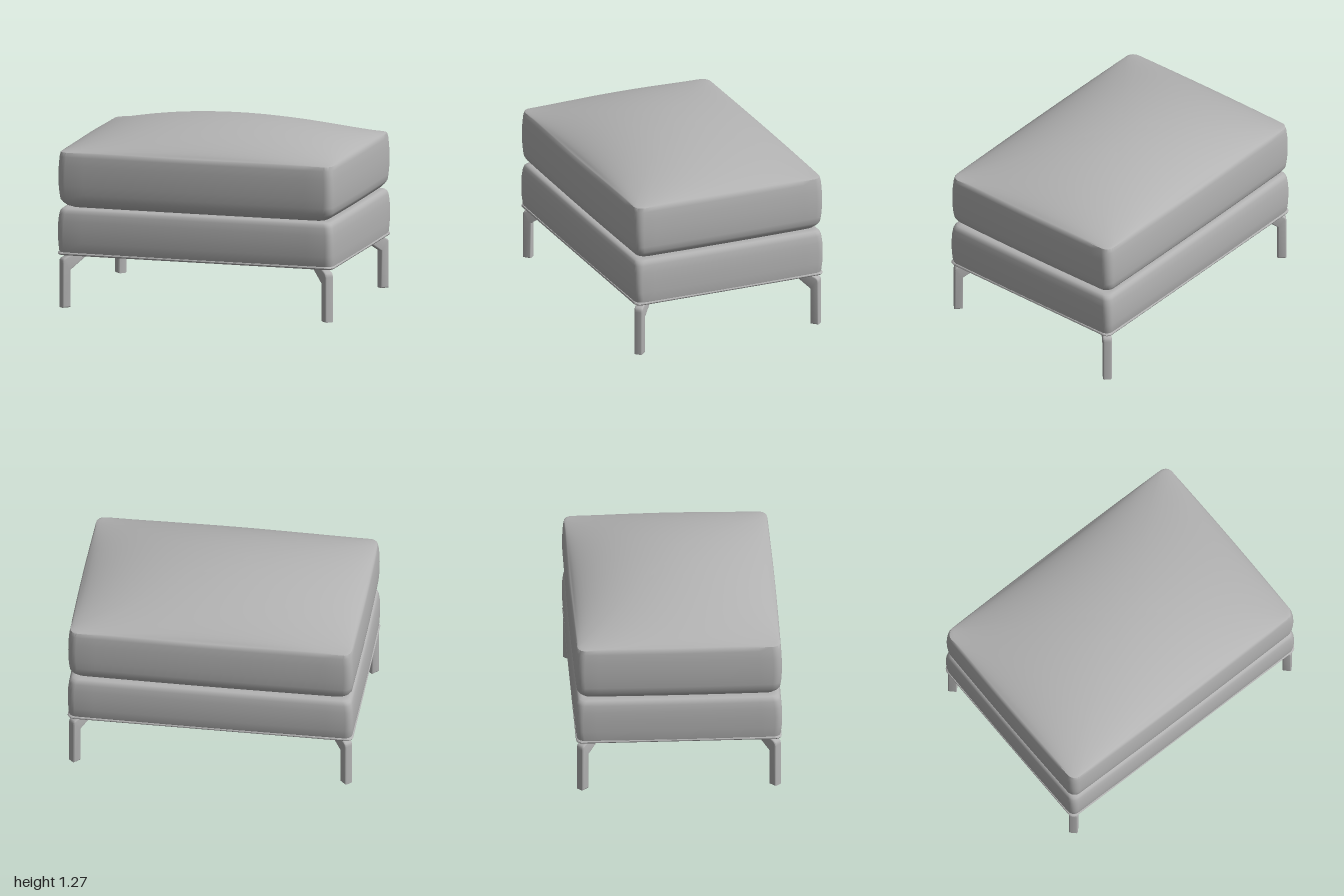
import * as THREE from 'three';
import { toCreasedNormals } from 'three/addons/utils/BufferGeometryUtils.js';

// Rounded rectangle outline in plan, with evenly divided sides and a slight outward bow
function outline(hx, hz, r, bow) {
  const pts = [], sides = 14, arc = 6;
  const corners = [[1, 1, 0], [-1, 1, 1], [-1, -1, 2], [1, -1, 3]];
  corners.forEach(([sx, sz, q], k) => {
    for (let i = 0; i <= arc; i++) {
      const t = (q + i / arc) * Math.PI / 2;
      pts.push([sx * (hx - r) + r * Math.cos(t), sz * (hz - r) + r * Math.sin(t)]);
    }
    const [ex, ez] = pts[pts.length - 1];
    const [nx, nz, nq] = corners[(k + 1) % 4];
    const t = nq * Math.PI / 2;
    const fx = nx * (hx - r) + r * Math.cos(t), fz = nz * (hz - r) + r * Math.sin(t);
    for (let i = 1; i < sides; i++) {
      const s = i / sides, b = bow * Math.sin(Math.PI * s);
      pts.push([ex + (fx - ex) * s + b * Math.cos(t), ez + (fz - ez) * s + b * Math.sin(t)]);
    }
  });
  return pts;
}

// Skin a stack of outlines, bottom to top; each ring is [y, halfX, halfZ, cornerRadius].
// The top is closed by shrinking rings raised by dome(u, v).
function loft(rings, { bow = 0, dome = () => 0, crease = 0.8 } = {}) {
  const pos = [], index = [];
  const add = (pts, s, yAt) => pts.forEach(([x, z]) => pos.push(x * s, yAt(x * s, z * s), z * s));
  const first = rings[0], last = rings[rings.length - 1];
  add(outline(first[1], first[2], first[3], 0), 0, () => first[0]);
  rings.forEach(([y, hx, hz, r]) => add(outline(hx, hz, r, bow), 1, () => y));
  const rim = outline(last[1], last[2], last[3], bow);
  const caps = [0.99, 0.975, 0.95, 0.92, 0.88, 0.82, 0.74, 0.64, 0.52, 0.38, 0.22, 0];
  caps.forEach((s) => add(rim, s, (x, z) => last[0] + dome(x / last[1], z / last[2])));
  const n = rim.length, rows = pos.length / 3 / n;
  for (let i = 0; i < rows - 1; i++) {
    for (let j = 0; j < n; j++) {
      const a = i * n + j, b = i * n + (j + 1) % n, c = a + n, d = b + n;
      if (i > 0) index.push(a, c, b);
      if (i < rows - 2) index.push(b, c, d);
      if (i === 0) index.push(b, c, d);
    }
  }
  // remove repeated first-row triangles and keep clean winding
  const geo = new THREE.BufferGeometry();
  geo.setAttribute('position', new THREE.Float32BufferAttribute(pos, 3));
  const clean = [], seen = new Set();
  for (let i = 0; i < index.length; i += 3) {
    const tri = index.slice(i, i + 3), key = tri.join();
    if (!seen.has(key)) clean.push(...tri);
    seen.add(key);
  }
  geo.setIndex(clean);
  return toCreasedNormals(geo, crease);
}

// Bent leg: an upright post whose top turns inward under the frame
function legGeometry() {
  const s = new THREE.Shape();
  s.moveTo(-0.031, 0);
  s.lineTo(0.031, 0);
  s.lineTo(0.031, 0.262);
  s.lineTo(0.15, 0.345);
  s.lineTo(0.15, 0.374);
  s.lineTo(0.045, 0.374);
  s.lineTo(-0.012, 0.349);
  s.quadraticCurveTo(-0.031, 0.34, -0.031, 0.315);
  s.closePath();
  const bevel = 0.01, width = 0.062;
  const geo = new THREE.ExtrudeGeometry(s, {
    depth: width - 2 * bevel, bevelEnabled: true, bevelThickness: bevel,
    bevelSize: bevel, bevelOffset: -bevel, bevelSegments: 3, curveSegments: 6,
  });
  geo.translate(0, 0, -width / 2 + bevel);
  return toCreasedNormals(geo, 0.7);
}

export function createModel() {
  const group = new THREE.Group();
  const grey = new THREE.MeshStandardMaterial({ color: 0xb3b3b3 });
  grey.name = 'grey';
  const part = (name, geo) => {
    const mesh = new THREE.Mesh(geo, grey);
    mesh.name = name;
    group.add(mesh);
    return mesh;
  };

  // Plump seat cushion with a domed top
  part('cushion', loft([
    [0.695, 0.88, 0.6, 0.06],
    [0.7, 0.915, 0.635, 0.06],
    [0.715, 0.945, 0.668, 0.06],
    [0.738, 0.968, 0.69, 0.06],
    [0.76, 0.982, 0.702, 0.06],
    [0.8, 0.987, 0.708, 0.06],
    [0.86, 0.992, 0.712, 0.06],
    [0.93, 0.993, 0.713, 0.06],
    [1.0, 0.991, 0.711, 0.06],
    [1.06, 0.986, 0.706, 0.06],
    [1.09, 0.98, 0.7, 0.06],
  ], {
    bow: 0.006,
    dome: (u, v) => 0.178 * Math.pow(Math.max(0, (1 - u * u) * (1 - v * v)), 0.7),
    crease: 1,
  }));

  // Upholstered base
  part('base', loft([
    [0.385, 0.985, 0.7, 0.05],
    [0.4, 0.988, 0.705, 0.05],
    [0.46, 0.992, 0.712, 0.05],
    [0.54, 0.994, 0.714, 0.05],
    [0.61, 0.992, 0.711, 0.05],
    [0.66, 0.986, 0.705, 0.05],
    [0.682, 0.979, 0.698, 0.05],
    [0.693, 0.967, 0.687, 0.05],
    [0.698, 0.95, 0.67, 0.05],
  ], { bow: 0.004 }));

  // Thin piping plate along the lower edge
  part('bottomPiping', loft([
    [0.37, 0.984, 0.7, 0.04],
    [0.374, 0.992, 0.708, 0.045],
    [0.381, 0.995, 0.711, 0.045],
    [0.388, 0.992, 0.708, 0.045],
    [0.391, 0.984, 0.7, 0.04],
  ]));

  // Four legs, each turned diagonally toward the centre
  const leg = legGeometry();
  for (const sx of [1, -1]) {
    for (const sz of [1, -1]) {
      const m = part((sz > 0 ? 'front' : 'back') + (sx > 0 ? 'Left' : 'Right') + 'Leg', leg);
      m.position.set(sx * 0.946, 0, sz * 0.665);
      m.rotation.y = Math.atan2(sz, -sx);
    }
  }
  return group;
}
